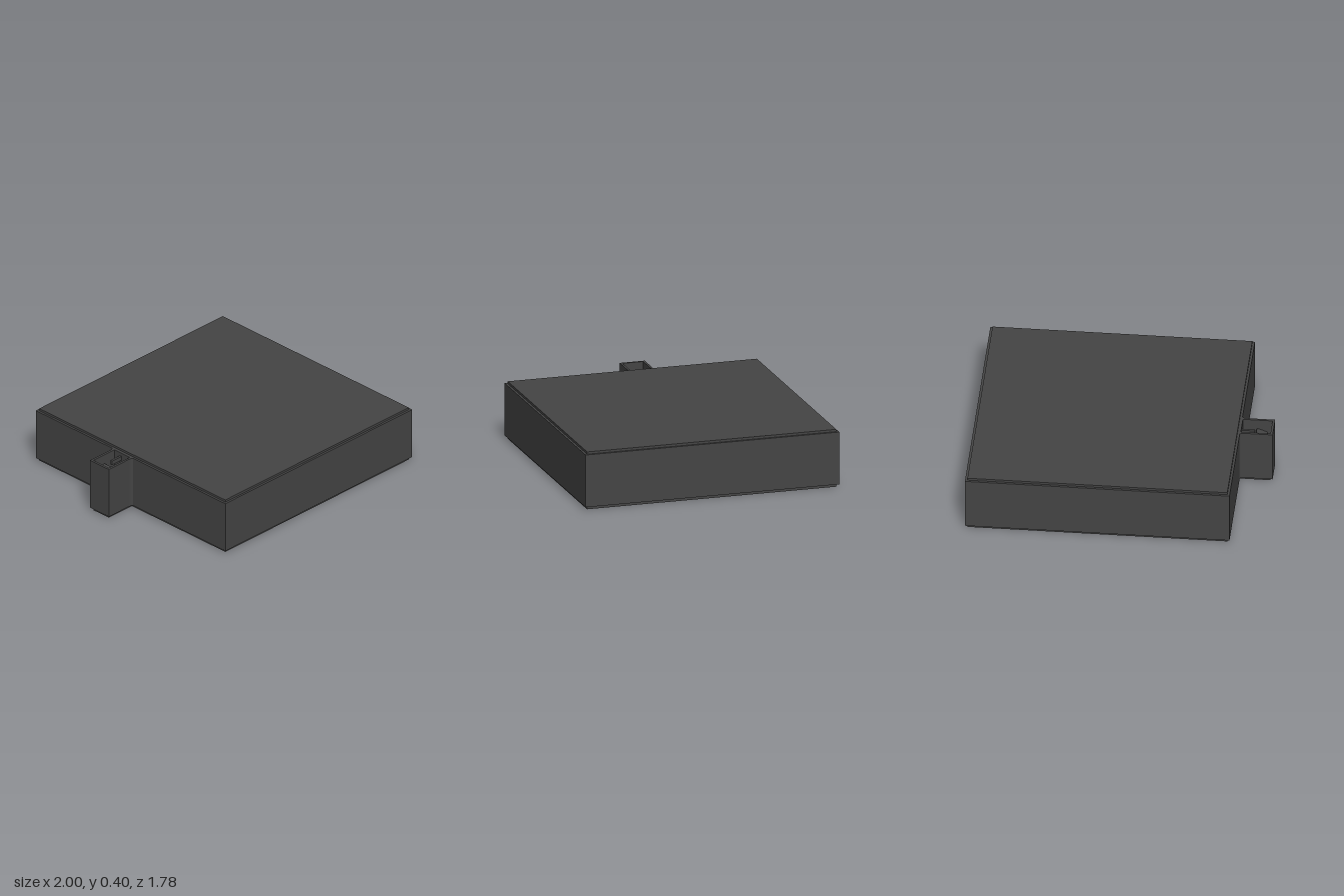
import * as THREE from 'three';

const dark = new THREE.MeshStandardMaterial({ color: 0x444444 });
const light = new THREE.MeshStandardMaterial({ color: 0xcccccc });

// Box given by its min and max corners
function block(name, min, max, material = dark) {
  const size = max.map((v, i) => v - min[i]);
  const mesh = new THREE.Mesh(new THREE.BoxGeometry(...size), material);
  mesh.position.set(...min.map((v, i) => (v + max[i]) / 2));
  mesh.name = name;
  return mesh;
}

// Hollow side housing: plan outline with a small flare where it meets the case
function housingWalls(zc, half, y0, y1) {
  const xOut = -1, xIn = -0.77, wall = 0.016;
  const outline = new THREE.Shape();
  outline.moveTo(xOut, -half);
  outline.lineTo(-0.81, -half);
  outline.quadraticCurveTo(-0.785, -half, -0.78, -half - 0.012);
  outline.lineTo(xIn, -half - 0.012);
  outline.lineTo(xIn, half + 0.012);
  outline.lineTo(-0.78, half + 0.012);
  outline.quadraticCurveTo(-0.785, half, -0.81, half);
  outline.lineTo(xOut, half);
  outline.closePath();

  const a = xOut + wall, b = -0.785, h = half - wall;
  const hole = new THREE.Path();
  hole.moveTo(a, -h);
  hole.lineTo(a, h);
  hole.lineTo(b, h);
  hole.lineTo(b, -h);
  hole.closePath();
  outline.holes.push(hole);

  const geo = new THREE.ExtrudeGeometry(outline, { depth: y1 - y0, bevelEnabled: false, curveSegments: 6 });
  geo.rotateX(-Math.PI / 2);
  const mesh = new THREE.Mesh(geo, dark);
  mesh.position.set(0, y0, zc);
  mesh.name = 'housingWalls';
  return mesh;
}

export function createModel() {
  const model = new THREE.Group();
  model.name = 'flatCase';

  // Case: main body with slightly inset plates above and below
  const inset = 0.016, y0 = 0.02, y1 = 0.384, top = 0.4;
  const left = -0.78, right = 0.997, depth = 0.89;
  model.add(block('caseBody', [left, y0, -depth], [right, y1, depth]));
  for (const [name, a, b] of [['bottomPlate', 0, y0], ['topPlate', y1, top]]) {
    model.add(block(name, [left + inset, a, -depth + inset], [right - inset, b, depth - inset]));
  }

  // Open-topped housing on the side
  const zc = -0.075, half = 0.088;
  const housing = new THREE.Group();
  housing.name = 'sideHousing';
  housing.add(housingWalls(zc, half, y0, y1));
  housing.add(block('housingFloor', [-1 + inset, 0, zc - half + inset], [left + inset, y0, zc + half - inset]));

  // Fittings inside the housing: two contact pads, a rib and a sloped plate
  for (const [z0, z1] of [[-0.135, -0.095], [-0.08, -0.025]]) {
    housing.add(block('contactPad', [-0.875, y0, z0], [-0.8, y0 + 0.01, z1], light));
  }
  housing.add(block('rib', [-0.875, 0.33, -0.096], [-0.785, 0.36, -0.08]));
  const slope = block('slopedPlate', [-0.95, 0.29, zc - half + inset], [-0.875, 0.305, zc + half - inset]);
  slope.rotation.z = 0.35;
  housing.add(slope);
  model.add(housing);

  return model;
}
